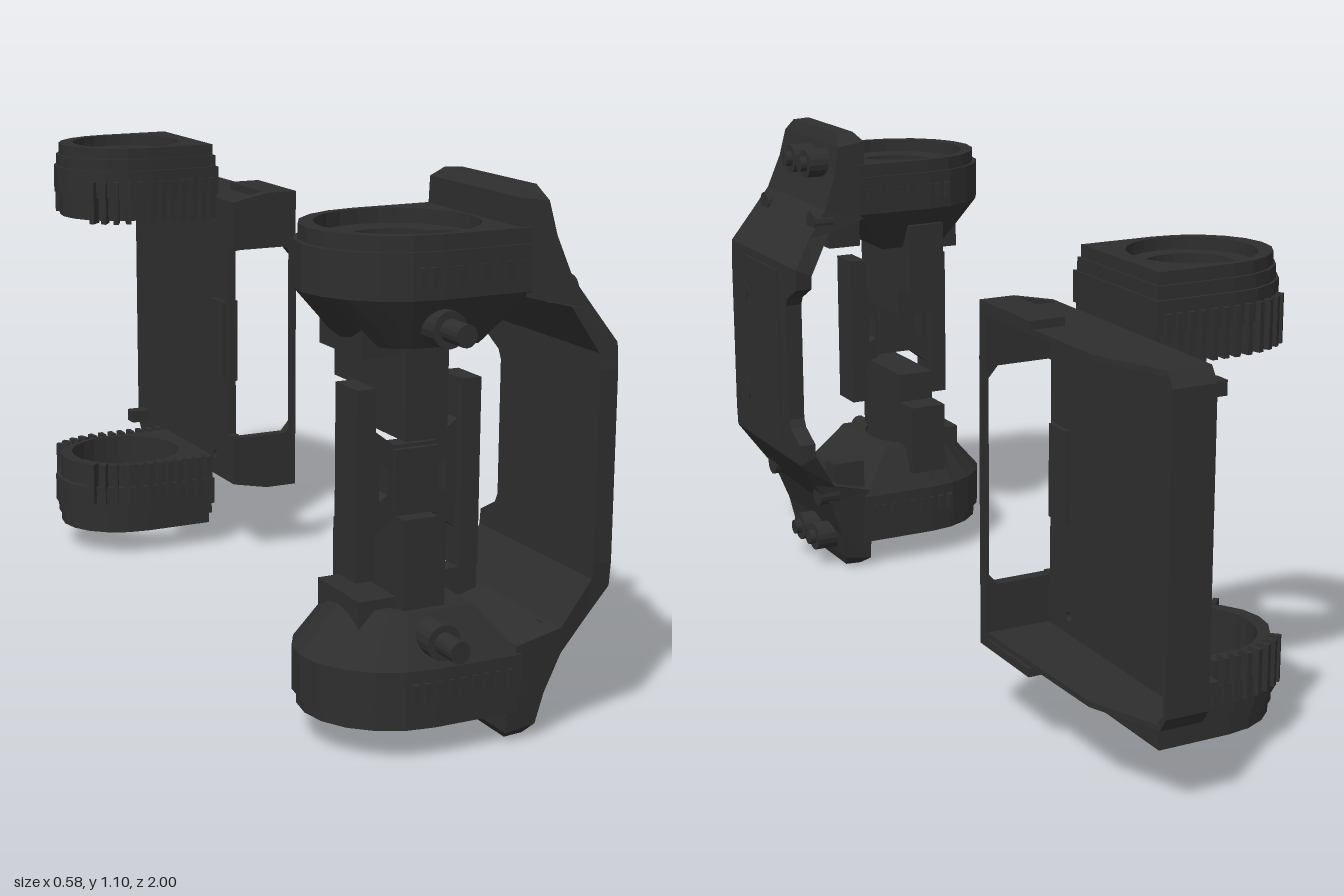
import * as THREE from 'three';

const mat = new THREE.MeshStandardMaterial({ color: 0x2e2e2e, flatShading: true, side: THREE.DoubleSide });
const MID = 0.5475; // mid height of the side frame

function add(parent, name, geo) {
  const m = new THREE.Mesh(geo, mat);
  m.name = name;
  parent.add(m);
  return m;
}
// box given by its limits
function box(parent, name, x0, x1, y0, y1, z0, z1) {
  const g = new THREE.BoxGeometry(x1 - x0, y1 - y0, z1 - z0);
  g.translate((x0 + x1) / 2, (y0 + y1) / 2, (z0 + z1) / 2);
  return add(parent, name, g);
}
function rod(parent, name, axis, r, len, x, y, z) {
  const g = new THREE.CylinderGeometry(r, r, len, 16);
  if (axis === 'x') g.rotateZ(Math.PI / 2);
  if (axis === 'z') g.rotateX(Math.PI / 2);
  return add(parent, name, g.translate(x, y, z));
}
const vectors = pts => pts.map(p => new THREE.Vector2(p[0], p[1]));
const extrude = (shape, depth) =>
  new THREE.ExtrudeGeometry(shape, { depth, bevelEnabled: false, curveSegments: 12 });
// shape drawn in x,z and raised from y0 to y1
const slab = (shape, y0, y1) => extrude(shape, y1 - y0).rotateX(Math.PI / 2).translate(0, y1, 0);

// horseshoe outline, round towards -x and straight at x = xr
function horseshoe(cx, cz, rx, rz, xr, hole) {
  const s = new THREE.Shape();
  s.moveTo(xr, cz - rz);
  s.lineTo(xr, cz + rz);
  for (let i = 0; i <= 10; i++) {
    const a = Math.PI / 2 + Math.PI * i / 10;
    s.lineTo(cx + rx * Math.cos(a), cz + rz * Math.sin(a));
  }
  s.holes.push(hole);
  return s;
}
const circle = (x, y, r) => new THREE.Path().absarc(x, y, r, 0, Math.PI * 2);
// round hole with a pointed notch towards +x
function keyhole(x, z, r, tip) {
  const p = new THREE.Path();
  p.absarc(x, z, r, 0.35, Math.PI * 2 - 0.35);
  p.lineTo(x + tip, z - 0.015);
  p.lineTo(x + tip, z + 0.015);
  return p;
}
// puts the upper half and its mirror image about y = mid into the parent
function mirrored(parent, name, mid, build) {
  for (const top of [true, false]) {
    const g = new THREE.Group();
    g.name = (top ? 'upper' : 'lower') + name;
    build(g, top);
    if (!top) { g.scale.y = -1; g.position.y = 2 * mid; }
    parent.add(g);
  }
}

function frontRing(g) {
  const cx = -0.085, cz = 0.745, rx = 0.202;
  add(g, 'ringRim', slab(horseshoe(cx, cz, rx - 0.01, 0.177, 0.1, circle(cx, cz, 0.16)), 0.99, 1.02));
  add(g, 'ringFloor', slab(horseshoe(cx, cz, rx, 0.183, 0.1, keyhole(cx, cz, 0.095, 0.14)), 0.96, 0.99));
  add(g, 'ringWall', slab(horseshoe(cx, cz, rx, 0.183, 0.1, circle(cx, cz, 0.155)), 0.9, 0.96));
  // hollow tapered underside
  const taper = slab(horseshoe(cx, cz, rx, 0.183, 0.1, circle(cx, cz, 0.155)), 0.8, 0.9);
  const p = taper.attributes.position;
  for (let i = 0; i < p.count; i++)
    if (p.getY(i) < 0.81) {
      p.setX(i, cx + (p.getX(i) - cx) * 0.56);
      p.setZ(i, cz + (p.getZ(i) - cz) * 0.72);
    }
  add(g, 'ringTaper', taper);
  for (let i = 0; i < 9; i++)
    for (const s of [-1, 1]) {
      const x = -0.14 + i * 0.026, z = cz + s * 0.18;
      box(g, 'coolingFin', x, x + 0.012, 0.925, 0.962, z - 0.008, z + 0.008);
    }
  // front peg in its boss
  rod(g, 'pegBoss', 'z', 0.036, 0.1, -0.08, 0.845, 0.89);
  rod(g, 'peg', 'z', 0.022, 0.13, -0.08, 0.845, 0.935);
  // arm reaching towards the middle, with its shoulders
  box(g, 'arm', -0.125, -0.035, 0.62, 0.86, 0.64, 0.86);
  box(g, 'backShoulder', -0.125, -0.035, 0.69, 0.86, 0.57, 0.64);
  box(g, 'sideShoulder', -0.205, -0.1, 0.78, 0.86, 0.66, 0.83);
}

function frameFittings(g) {
  for (const z of [0.65, 0.74]) {
    rod(g, 'bolt', 'x', 0.034, 0.09, 0.16, 1.02, z);
    rod(g, 'boltTip', 'x', 0.018, 0.09, 0.175, 1.02, z);
  }
  for (const z of [0.585, 0.88]) rod(g, 'screw', 'x', 0.026, 0.05, 0.195, 0.89, z);
  box(g, 'innerBlock', 0.09, 0.17, 0.82, 0.89, 0.59, 0.64);
}

function sideFrame(parent) {
  // cross-sections from the top to the middle: outer x,y, inner x,y, back z, front z
  const upper = [
    [0.135, 1.093, 0.095, 1.095, 0.61, 0.88],
    [0.146, 1.065, 0.08, 1.075, 0.58, 0.91],
    [0.16, 1.0, 0.08, 0.98, 0.572, 0.918],
    [0.19, 0.92, 0.09, 0.89, 0.565, 0.928],
    [0.238, 0.855, 0.185, 0.865, 0.557, 0.935],
    [0.285, 0.79, 0.245, 0.772, 0.527, 0.945],
    [0.285, 0.74, 0.245, 0.74, 0.53, 0.95],
    [0.285, 0.71, 0.245, 0.71, 0.585, 0.95],
    [0.285, 0.69, 0.245, 0.69, 0.595, 0.95]];
  const lower = upper.map(([a, b, c, d, e, f]) => [a, 2 * MID - b, c, 2 * MID - d, e, f]).reverse();
  const sections = [...upper, ...lower], pos = [], idx = [];
  sections.forEach(([ox, oy, ix, iy, zb, zf], k) => {
    pos.push(ox, oy, zf, ox, oy, zb, ix, iy, zb, ix, iy, zf);
    if (k === 0) return;
    for (let j = 0; j < 4; j++) {
      const a = 4 * k - 4 + j, b = 4 * k - 4 + (j + 1) % 4;
      idx.push(a, a + 4, b + 4, a, b + 4, b);
    }
  });
  const e = pos.length / 3 - 4;
  idx.push(0, 1, 2, 0, 2, 3, e, e + 2, e + 1, e, e + 3, e + 2);
  const geo = new THREE.BufferGeometry();
  geo.setAttribute('position', new THREE.Float32BufferAttribute(pos, 3));
  geo.setIndex(idx);
  geo.computeVertexNormals();
  add(parent, 'sideFrame', geo);
  box(parent, 'sidePanel', 0.28, 0.289, 0.33, 0.77, 0.64, 0.86);
  for (const y of [0.42, 0.68]) rod(parent, 'panelScrew', 'x', 0.025, 0.01, 0.286, y, 0.86);
}

function clampPlate(parent) {
  const q = [[-0.24, 0.73], [-0.2, 0.73], [-0.2, 0.655], [-0.15, 0.617], [-0.065, 0.617], [-0.015, 0.655], [-0.015, 0.73], [0.025, 0.73]];
  const s = new THREE.Shape(vectors([...q, ...q.map(([x, y]) => [x, 2 * MID - y]).reverse()]));
  for (const m of [-1, 1])
    s.holes.push(new THREE.Path(vectors([[0.073, 0.036], [0.055, 0.026], [0.055, -0.026], [0.073, -0.036]]
      .map(([x, y]) => [m * x - 0.1075, MID + y]))));
  add(parent, 'clampPlate', extrude(s, 0.04).translate(0, 0, 0.82));
  for (const x of [-0.24, -0.015]) box(parent, 'clampRail', x, x + 0.04, 0.365, 0.735, 0.795, 0.88);
  box(parent, 'clampHub', -0.152, -0.06, 0.49, 0.61, 0.81, 0.87);
}

function rearRing(g, top) {
  const cx = -0.075, cz = top ? -0.632 : -0.665, rx = 0.178, rz = 0.16;
  add(g, 'ringRim', slab(horseshoe(cx, cz, rx - 0.012, 0.147, 0.09, circle(cx, cz, 0.13)), 0.992, 1.018));
  add(g, 'ringFloor', slab(horseshoe(cx, cz, rx - 0.006, 0.153, 0.095, keyhole(cx, cz, 0.092, 0.13)), 0.965, 0.992));
  add(g, 'ringWall', slab(horseshoe(cx, cz, rx, rz, 0.1, circle(cx, cz, 0.135)), 0.9, 0.965));
  add(g, 'ringSkirt', slab(horseshoe(cx, cz, rx - 0.012, rz - 0.012, 0.1, circle(cx, cz, 0.135)), 0.845, 0.9));
  // cooling fins on the straight sides and part of the curve
  for (const s of [-1, 1])
    for (let i = 0; i < 12; i++) {
      const a = Math.max(0, i - 6) * 0.16;
      const fin = add(g, 'coolingFin', new THREE.BoxGeometry(0.012, 0.1, 0.03));
      fin.position.set(i < 7 ? 0.08 - i * 0.026 : cx - rx * Math.sin(a), 0.89, cz + s * (rz - 0.004) * Math.cos(a));
      fin.rotation.y = -s * a;
    }
}

function trayEnd(g) {
  // end wall, widening towards the front
  const wall = [[0.1, -0.98], [0.195, -0.98], [0.255, -0.82], [0.265, -0.39], [0.11, -0.39], [0.1, -0.42]];
  add(g, 'trayEndWall', slab(new THREE.Shape(vectors(wall)), 0.876, 0.888));
  // chamfer between the end wall and the back wall
  const bevel = new THREE.Shape(vectors([[0.98, 0.888], [1, 0.858], [0.985, 0.858], [0.97, 0.876]]));
  add(g, 'trayBevel', extrude(bevel, 0.095).rotateY(Math.PI / 2).translate(0.1, 0, 0));
  box(g, 'trayRidge', 0.19, 0.268, 0.888, 0.906, -0.6, -0.39);
  const corner = [[0.1, 0.888], [0.19, 0.906], [0.268, 0.906], [0.268, 0.74], [0.24, 0.772], [0.1, 0.772]];
  add(g, 'trayCorner', extrude(new THREE.Shape(vectors(corner)), 0.025).translate(0, 0, -0.415));
  // locating peg and clip
  box(g, 'trayPeg', 0.055, 0.1, 0.82, 0.85, -0.965, -0.93);
  box(g, 'trayClip', 0.107, 0.157, 0.65, 0.725, -0.962, -0.94);
}

function tray(parent) {
  // base drawn in z,y and turned so that its thickness runs along x
  const s = new THREE.Shape(vectors([[1, 0.22], [1, 0.857], [0.98, 0.887], [0.42, 0.887], [0.395, 0.86], [0.395, 0.77],
    [0.42, 0.77], [0.42, 0.31], [0.395, 0.31], [0.395, 0.22], [0.42, 0.19], [0.98, 0.19]]));
  for (const y of [0.24, 0.84]) for (const z of [0.5, 0.94]) s.holes.push(circle(z, y, 0.01));
  for (const y of [0.345, 0.69])
    s.holes.push(new THREE.Path(vectors([[0.968, y - 0.03], [0.982, y - 0.03], [0.982, y + 0.03], [0.968, y + 0.03]])));
  add(parent, 'trayBase', extrude(s, 0.02).rotateY(Math.PI / 2).translate(0.1, 0, 0));
  box(parent, 'trayBackWall', 0.1, 0.195, 0.219, 0.858, -1, -0.988);
  box(parent, 'trayRail', 0.25, 0.268, 0.3, 0.79, -0.394, -0.388);
  box(parent, 'trayTab', 0.09, 0.13, 0.44, 0.64, -0.5, -0.43);
}

export function createModel() {
  const model = new THREE.Group();
  model.name = 'bracketSet';

  const front = new THREE.Group();
  front.name = 'frontBracket';
  mirrored(front, 'FrontMount', 0.5435, frontRing);
  mirrored(front, 'FrameFittings', MID, frameFittings);
  sideFrame(front);
  clampPlate(front);

  const rear = new THREE.Group();
  rear.name = 'rearBracket';
  mirrored(rear, 'RearMount', 0.5385, rearRing);
  mirrored(rear, 'TrayEnd', 0.5385, trayEnd);
  tray(rear);

  model.add(front, rear);
  return model;
}
